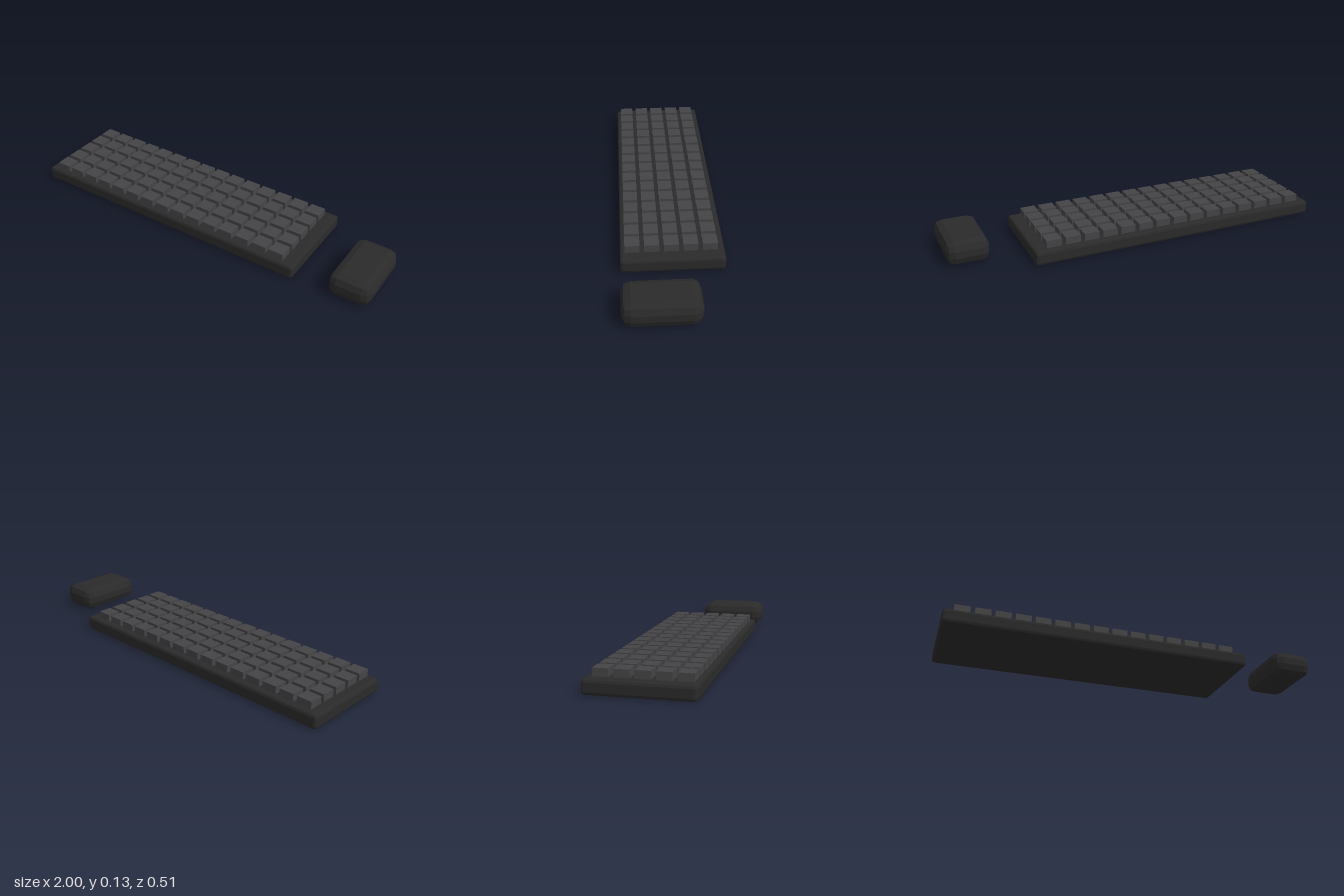
import * as THREE from 'three';
import { RoundedBoxGeometry } from 'three/addons/geometries/RoundedBoxGeometry.js';

const bodyMaterial = new THREE.MeshStandardMaterial({ color: 0x2a2a2a, flatShading: true });
const keyMaterial = new THREE.MeshStandardMaterial({ color: 0x444446 });

function addPart(parent, name, geometry, material, x, y, z) {
  const mesh = new THREE.Mesh(geometry, material);
  mesh.name = name;
  mesh.position.set(x, y, z);
  parent.add(mesh);
}

export function createModel() {
  const model = new THREE.Group();
  model.name = 'keyboardAndMouse';

  // Keyboard case with a small bevel
  const keyboard = new THREE.Group();
  keyboard.name = 'keyboard';
  model.add(keyboard);
  addPart(keyboard, 'keyboardCase', new RoundedBoxGeometry(1.6, 0.073, 0.51, 1, 0.015), bodyMaterial, -0.2, 0.0365, 0);

  // Key grid: 15 columns by 5 rows, sunk slightly into the case
  const keyGeometry = new THREE.BoxGeometry(0.079, 0.05, 0.073);
  for (let row = 0; row < 5; row++) {
    for (let col = 0; col < 15; col++) {
      addPart(keyboard, 'key', keyGeometry, keyMaterial, -0.907 + col * 0.1, 0.086, 0.006 + (row - 2) * 0.0945);
    }
  }

  // Mouse: a faceted, generously bevelled block
  addPart(model, 'mouse', new RoundedBoxGeometry(0.218, 0.124, 0.364, 1, 0.044), bodyMaterial, 0.891, 0.066, 0.073);

  return model;
}
